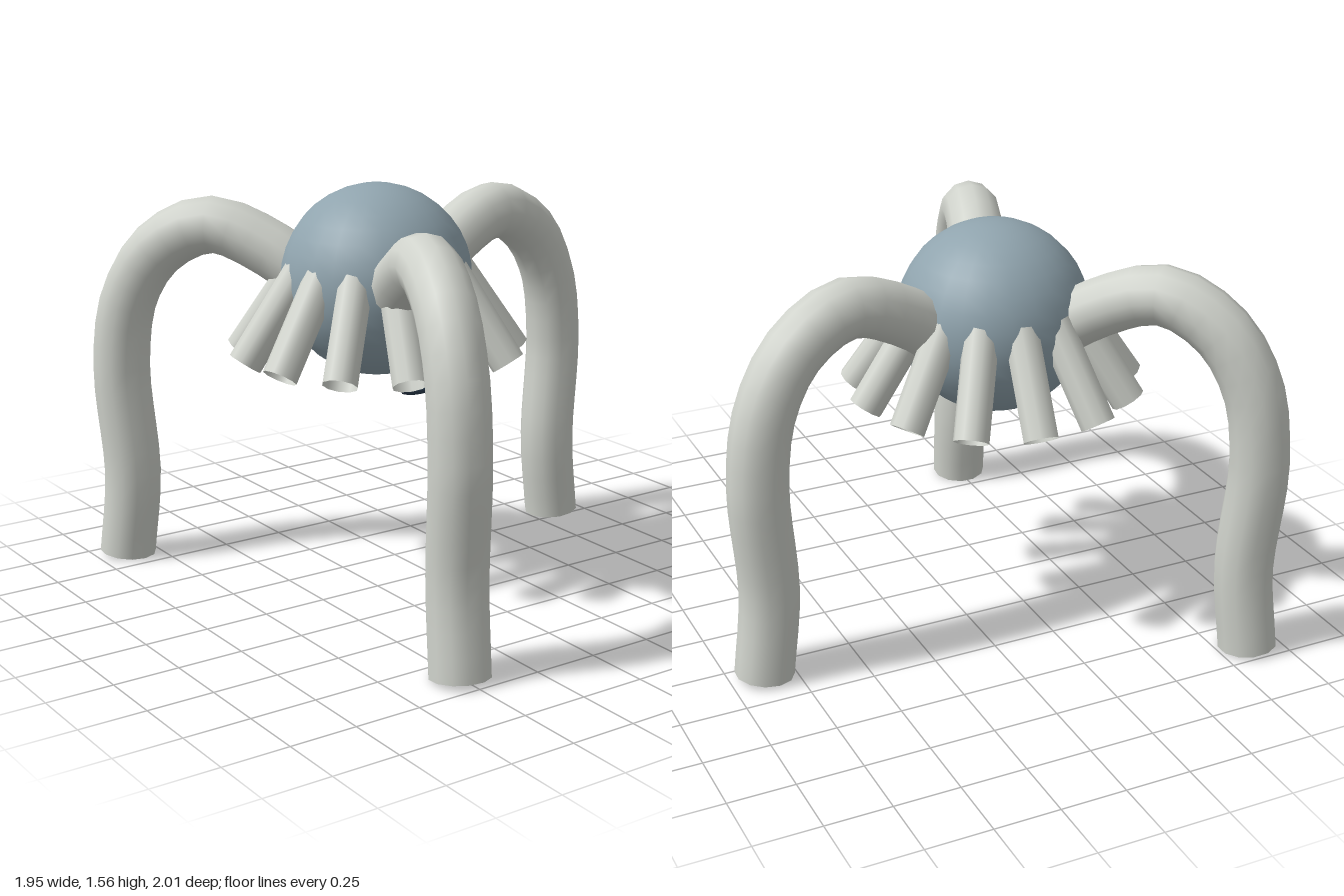
import * as THREE from 'three';

const V = (x, y, z = 0) => new THREE.Vector3(x, y, z);

export function createModel() {
  const model = new THREE.Group();
  model.name = 'walker';

  const bodyBlue = new THREE.MeshStandardMaterial({ color: 0x90a4ae });
  bodyBlue.name = 'blue grey';
  const limbGrey = new THREE.MeshStandardMaterial({ color: 0xd0d3cc, side: THREE.DoubleSide });
  limbGrey.name = 'pale grey';
  const coilNavy = new THREE.MeshStandardMaterial({ color: 0x2c3e50, side: THREE.DoubleSide });
  coilNavy.name = 'navy';

  const add = (name, geometry, material, parent) => {
    const mesh = new THREE.Mesh(geometry, material);
    mesh.name = name;
    parent.add(mesh);
    return mesh;
  };

  // everything radiates from the vertical axis of the body
  const hub = new THREE.Group();
  hub.name = 'hub';
  hub.position.set(-0.17, 0, -0.11);
  model.add(hub);

  const body = add('body', new THREE.SphereGeometry(0.365, 24, 18), bodyBlue, hub);
  body.position.y = 1.2;

  // three arched hollow legs
  const legPath = new THREE.CatmullRomCurve3([
    V(0.2, 1.14), V(0.4, 1.285), V(0.66, 1.38), V(0.875, 1.28), V(1.005, 1.08),
    V(1.05, 0.8), V(1.022, 0.35), V(1.057, 0.021),
  ]);
  const legGeometry = new THREE.TubeGeometry(legPath, 24, 0.112, 12, false);
  for (let i = 0; i < 3; i++) {
    const leg = add('leg', legGeometry, limbGrey, hub);
    leg.rotation.y = -THREE.MathUtils.degToRad(-11.5 + i * 120);
  }

  // ring of short open tubes sloping outward
  const tubePath = new THREE.LineCurve3(V(0.273, 1.288), V(0.525, 0.915));
  const tubeGeometry = new THREE.TubeGeometry(tubePath, 1, 0.066, 10, false);
  const tubeCount = 13;
  for (let i = 0; i < tubeCount; i++) {
    const tube = add('shortTube', tubeGeometry, limbGrey, hub);
    tube.rotation.y = -(i / tubeCount) * Math.PI * 2;
  }

  // flat looping coil hanging in one plane at the front
  const turns = 5;
  const coilPoints = [];
  for (let i = 0; i <= turns * 16; i++) {
    const t = i / (turns * 16);
    const a = t * turns * Math.PI * 2;
    const r = 0.11 + 0.012 * t;
    coilPoints.push(V(-0.173 + 0.04 * t + r * Math.cos(a), 0.83 + 0.29 * t + 0.033 * Math.sin(a), 0.217));
  }
  const coilPath = new THREE.CatmullRomCurve3(coilPoints);
  add('coil', new THREE.TubeGeometry(coilPath, turns * 24, 0.015, 8, false), coilNavy, model);

  return model;
}
